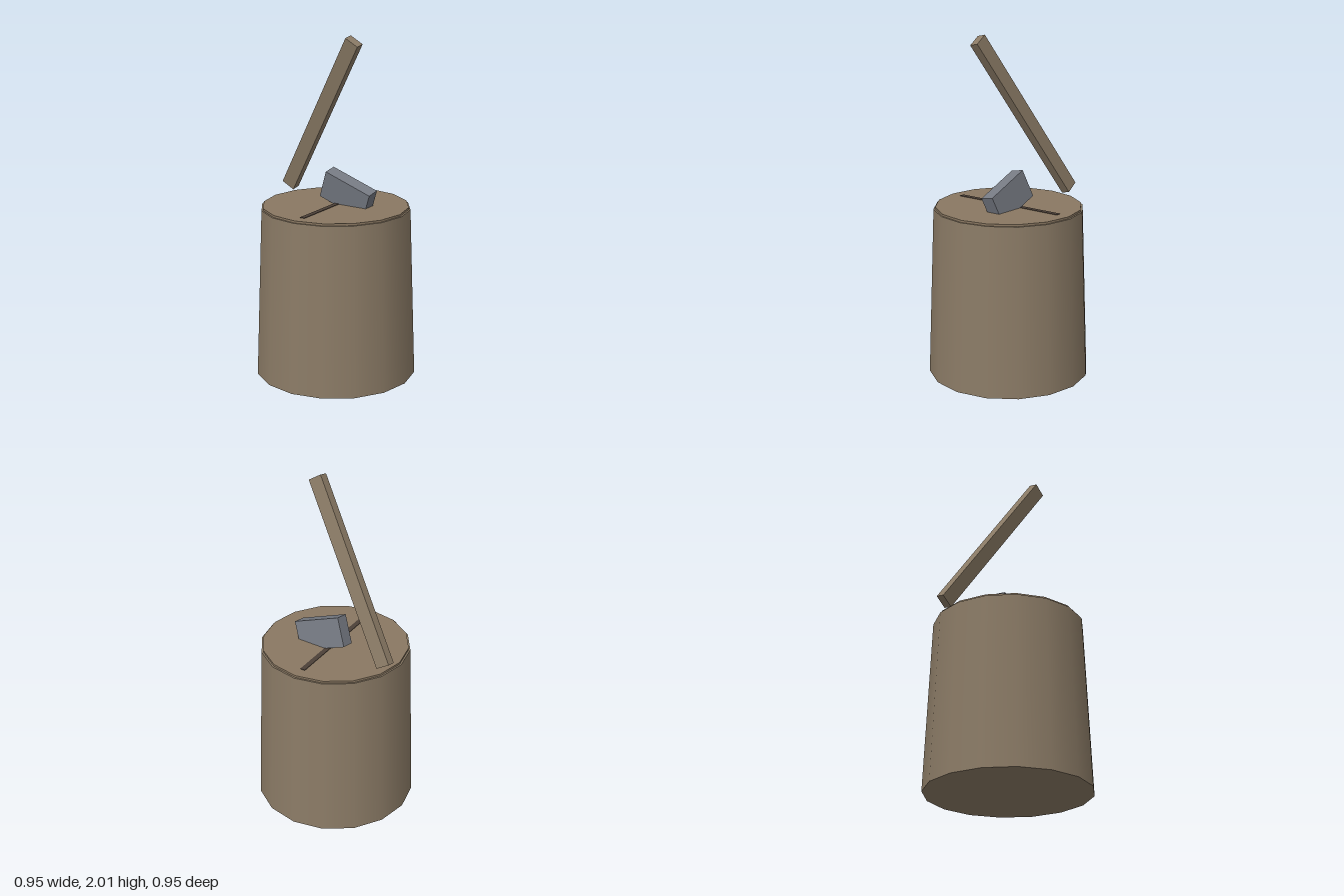
import * as THREE from 'three';

const mat = (name, color) => {
  const m = new THREE.MeshStandardMaterial({ color });
  m.name = name;
  return m;
};

// Orients a mesh so its local y follows `up` and its local x leans along `side`
function orient(mesh, up, side) {
  const y = new THREE.Vector3(...up).normalize();
  const z = new THREE.Vector3(...side).cross(y).normalize();
  const x = new THREE.Vector3().crossVectors(y, z);
  mesh.quaternion.setFromRotationMatrix(new THREE.Matrix4().makeBasis(x, y, z));
}

export function createModel() {
  const model = new THREE.Group();
  model.name = 'choppingBlock';

  const wood = mat('wood', 0x8b7b66);
  const cutWood = mat('cutWood', 0x8a7862);
  const darkWood = mat('darkWood', 0x4c4038);
  const steel = mat('steel', 0x767a83);

  const add = (name, geometry, material, x, y, z) => {
    const mesh = new THREE.Mesh(geometry, material);
    mesh.name = name;
    mesh.position.set(x, y, z);
    model.add(mesh);
    return mesh;
  };

  // Tapered stump with a slightly smaller sawn disc on top
  add('stump', new THREE.CylinderGeometry(0.437, 0.475, 1, 16), wood, 0, 0.5, 0);
  add('sawnTop', new THREE.CylinderGeometry(0.427, 0.427, 0.02, 16), cutWood, 0, 1.002, 0);

  // Split across the sawn face
  const crack = add('crack', new THREE.BoxGeometry(0.71, 0.008, 0.03), darkWood, 0, 1.011, 0);
  crack.rotation.y = 0.4;

  // Axe head sunk into the block, tipped forward
  const head = add('axeHead', new THREE.BoxGeometry(0.083, 0.173, 0.308), steel, 0.06, 1.077, 0.04);
  orient(head, [-0.03, 0.915, 0.39], [0.926, 0.12, -0.36]);

  // Leaning axe handle
  const handle = add('axeHandle', new THREE.BoxGeometry(0.054, 1.11, 0.086), wood, -0.021, 1.517, -0.12);
  orient(handle, [0.015, 0.829, 0.559], [0.92, 0.2, -0.33]);

  return model;
}
